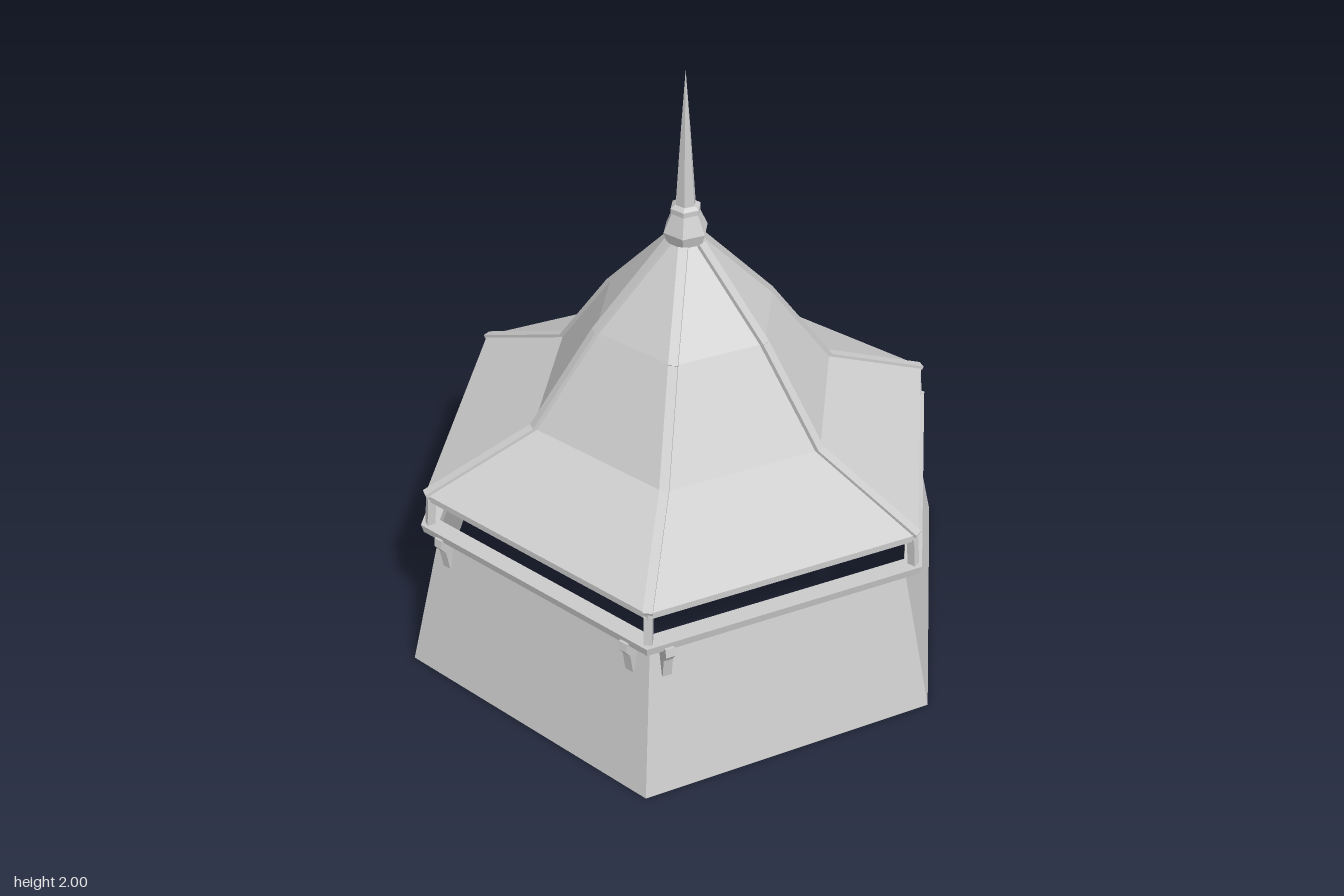
import * as THREE from 'three';

const V = (x, y, z) => new THREE.Vector3(x, y, z);

export function createModel() {
  const model = new THREE.Group();
  const solid = new THREE.MeshStandardMaterial({ color: 0xcccccc, flatShading: true });
  const sheet = new THREE.MeshStandardMaterial({ color: 0xcccccc, flatShading: true, side: THREE.DoubleSide });

  const add = (name, geometry, material = solid, parent = model) => {
    const g = geometry.index ? geometry.toNonIndexed() : geometry;
    g.computeVertexNormals();
    const mesh = new THREE.Mesh(g, material);
    mesh.name = name;
    parent.add(mesh);
    return mesh;
  };

  // Six-sided turned form with corners on the x axis; profile is [radius, y]
  const hex = (name, profile, material) =>
    add(name, new THREE.LatheGeometry(
      profile.map(([r, y]) => new THREE.Vector2(r, y)), 6, Math.PI / 2), material);

  // Square-section bar in the local xy plane between two [radius, y] points
  const bar = (name, a, b, width, depth, parent) => {
    const p = V(a[0], a[1], 0), q = V(b[0], b[1], 0);
    const mesh = add(name, new THREE.BoxGeometry(depth, p.distanceTo(q), width), solid, parent);
    mesh.position.copy(p).add(q).multiplyScalar(0.5);
    mesh.rotation.z = Math.atan2(-(q.x - p.x), q.y - p.y);
  };

  // Sloping walls, open at top and bottom
  hex('walls', [[1, 0], [0.862, 0.54]], sheet);

  // Ledge on the walls and beam under the eaves
  hex('ledge', [[0.862, 0.538], [0.918, 0.538], [0.925, 0.57], [0.862, 0.57], [0.862, 0.538]]);
  hex('eaveBeam', [[0.868, 0.663], [0.896, 0.663], [0.896, 0.69], [0.868, 0.69], [0.868, 0.663]]);

  // Flared roof skin
  const roof = [[0.9, 0.69], [0.53, 0.846], [0.308, 1.16], [0.06, 1.43]];
  hex('roof', roof, sheet);

  // Corner posts and hip ridges
  for (let i = 0; i < 6; i++) {
    const corner = new THREE.Group();
    corner.name = 'corner';
    corner.rotation.y = i * Math.PI / 3;
    bar('post', [0.894, 0.565], [0.882, 0.67], 0.026, 0.026, corner);
    for (let j = 0; j < roof.length - 1; j++) {
      bar('hipRidge', roof[j], roof[j + 1], 0.03, 0.014, corner);
    }
    model.add(corner);
  }

  // Finial: bulb, collar and spire
  hex('finialBulb', [[0, 1.42], [0.062, 1.425], [0.074, 1.465], [0.045, 1.53], [0, 1.53]]);
  hex('finialCollar', [[0, 1.528], [0.05, 1.528], [0.05, 1.545], [0.036, 1.555], [0, 1.555]]);
  hex('spire', [[0.034, 1.545], [0.016, 1.8], [0, 2]]);

  // Small hook brackets on the wall: [face rotation, offset along the face]
  const hook = new THREE.Shape([
    [0.745, 0.55], [0.805, 0.55], [0.81, 0.52], [0.79, 0.49], [0.78, 0.415], [0.765, 0.415],
  ].map(([r, y]) => new THREE.Vector2(r, y)));
  for (const [turn, offset] of [[0, -0.39], [-Math.PI / 3, -0.385], [-Math.PI / 3, 0.375]]) {
    const g = new THREE.ExtrudeGeometry(hook, { depth: 0.03, bevelEnabled: false });
    g.translate(0, 0, -0.015).rotateY(-Math.PI / 2).translate(offset, 0, 0).rotateY(turn);
    add('bracket', g);
  }
  return model;
}
